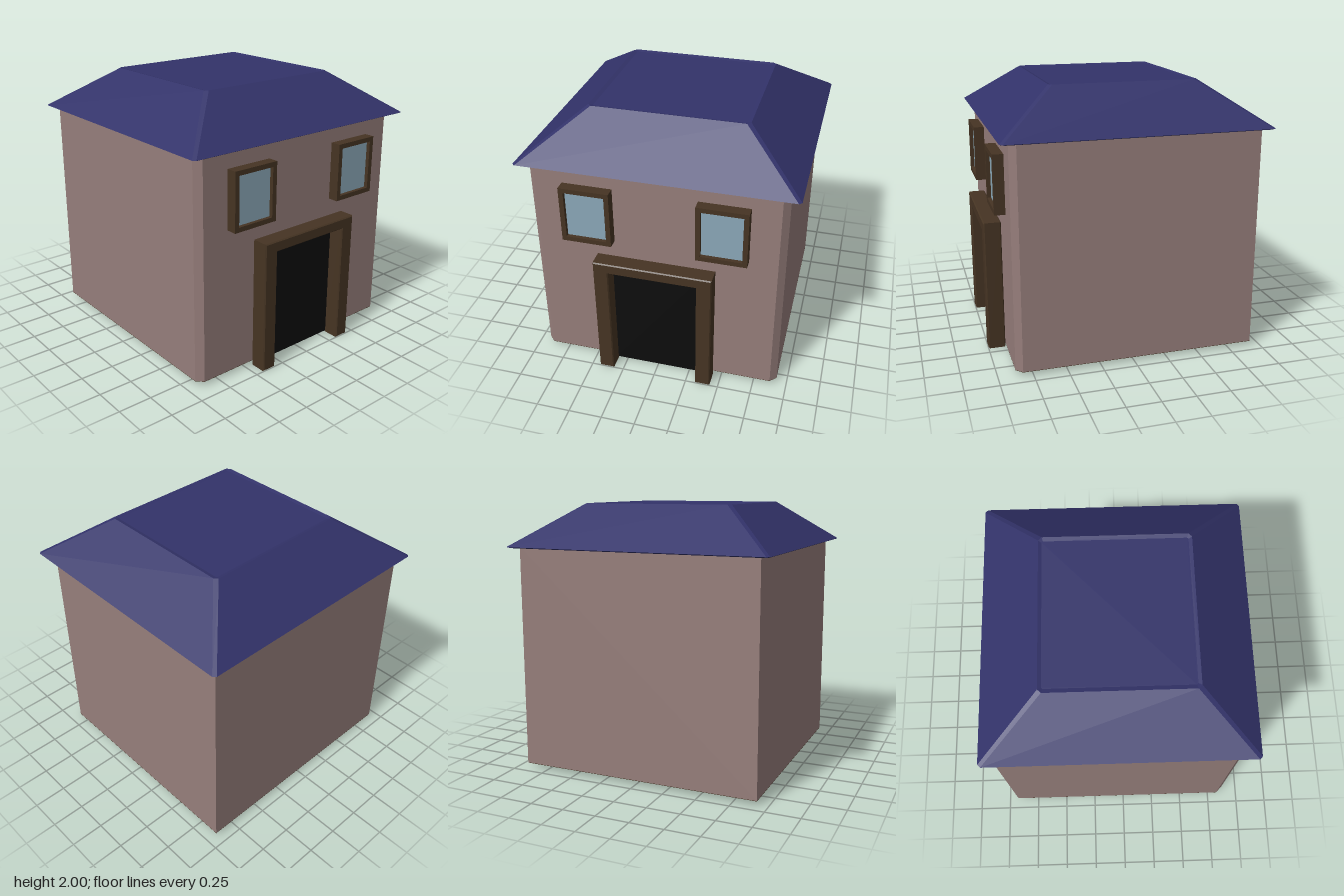
import * as THREE from 'three';

const mat = (name, color, opts = {}) => {
  const m = new THREE.MeshStandardMaterial({ color, ...opts });
  m.name = name;
  return m;
};

export function createModel() {
  const group = new THREE.Group();
  const wallMat = mat('dusty pink wall', 0x967e7b);
  const roofMat = mat('navy roof', 0x323269);
  const woodMat = mat('dark brown wood', 0x463423);
  const glassMat = mat('blue glass', 0x8ca9b9);
  const doorMat = mat('black doorway', 0x0d0d0d);

  const add = (name, geometry, material, x = 0, y = 0, z = 0, parent = group) => {
    const mesh = new THREE.Mesh(geometry, material);
    mesh.name = name;
    mesh.position.set(x, y, z);
    parent.add(mesh);
    return mesh;
  };
  const polygon = pts => new THREE.Shape(pts.map(p => new THREE.Vector2(...p)));

  // Walls: square plan with the two front corners cut off
  const W = 0.923, F = 0.872, B = -0.925, C = 0.047;
  const plan = polygon([[-W, -F + C], [-W + C, -F], [W - C, -F], [W, -F + C], [W, -B], [-W, -B]]);
  const slab = h => new THREE.ExtrudeGeometry(plan, { depth: h, bevelEnabled: false }).rotateX(-Math.PI / 2);
  add('walls', slab(1.655), wallMat, 0, 0.035, 0);
  add('floor', slab(0.003), woodMat, 0, 0.032, 0);

  // Roof: stacked rings with clipped corners, closed at both ends
  const ring = (x, zBack, zFront, y, c) => [
    [-x, y, zFront - c], [-x + c, y, zFront], [x - c, y, zFront], [x, y, zFront - c],
    [x, y, zBack + c], [x - c, y, zBack], [-x + c, y, zBack], [-x, y, zBack + c],
  ];
  const rings = [
    ring(0.985, -0.985, 0.93, 1.683, 0.02),
    ring(1.0, -1.0, 0.945, 1.69, 0.02),
    ring(0.58, -0.565, 0.53, 2.0, 0.025),
    ring(0.55, -0.54, 0.505, 1.992, 0.01),
  ];
  const pos = [];
  const tri = (...corners) => corners.forEach(p => pos.push(...p));
  for (let r = 0; r < rings.length - 1; r++) {
    const a = rings[r], b = rings[r + 1];
    for (let i = 0; i < 8; i++) {
      const j = (i + 1) % 8;
      tri(a[i], a[j], b[j]);
      tri(a[i], b[j], b[i]);
    }
  }
  const low = rings[0], high = rings[rings.length - 1];
  for (let i = 1; i < 7; i++) {
    tri(low[0], low[i + 1], low[i]);
    tri(high[0], high[i], high[i + 1]);
  }
  const roof = new THREE.BufferGeometry();
  roof.setAttribute('position', new THREE.Float32BufferAttribute(pos, 3));
  roof.computeVertexNormals();
  add('roof', roof, roofMat);

  // Door surround with bevelled edges, and the dark opening behind it
  const b = 0.008;
  const surround = polygon([
    [-0.437 + b, b], [-0.325 - b, b], [-0.325 - b, 0.915 + b], [0.325 + b, 0.915 + b],
    [0.325 + b, b], [0.437 - b, b], [0.437 - b, 0.997 - b], [-0.437 + b, 0.997 - b],
  ]);
  add('doorFrame', new THREE.ExtrudeGeometry(surround, {
    depth: 0.122 - b, bevelSize: b, bevelThickness: b, bevelSegments: 1,
  }), woodMat, 0, 0, 0.878);
  add('doorway', new THREE.BoxGeometry(0.67, 0.91, 0.009), doorMat, 0, 0.465, 0.878);

  // Windows: a picture frame standing off the wall with glass set inside
  const w = 0.183, h = 0.216, t = 0.035;
  const frame = polygon([[-w, -h], [w, -h], [w, h], [-w, h]]);
  frame.holes.push(polygon([[-w + t, -h + t], [-w + t, h - t], [w - t, h - t], [w - t, -h + t]]));
  for (const side of [-1, 1]) {
    const win = new THREE.Group();
    win.name = side < 0 ? 'rightWindow' : 'leftWindow';
    win.position.set(side * 0.488, 1.341, 0.872);
    add('windowFrame', new THREE.ExtrudeGeometry(frame, { depth: 0.078, bevelEnabled: false }), woodMat, 0, 0, 0, win);
    add('windowGlass', new THREE.BoxGeometry(2 * (w - t), 2 * (h - t), 0.009), glassMat, 0, 0, 0.045, win);
    group.add(win);
  }
  return group;
}
